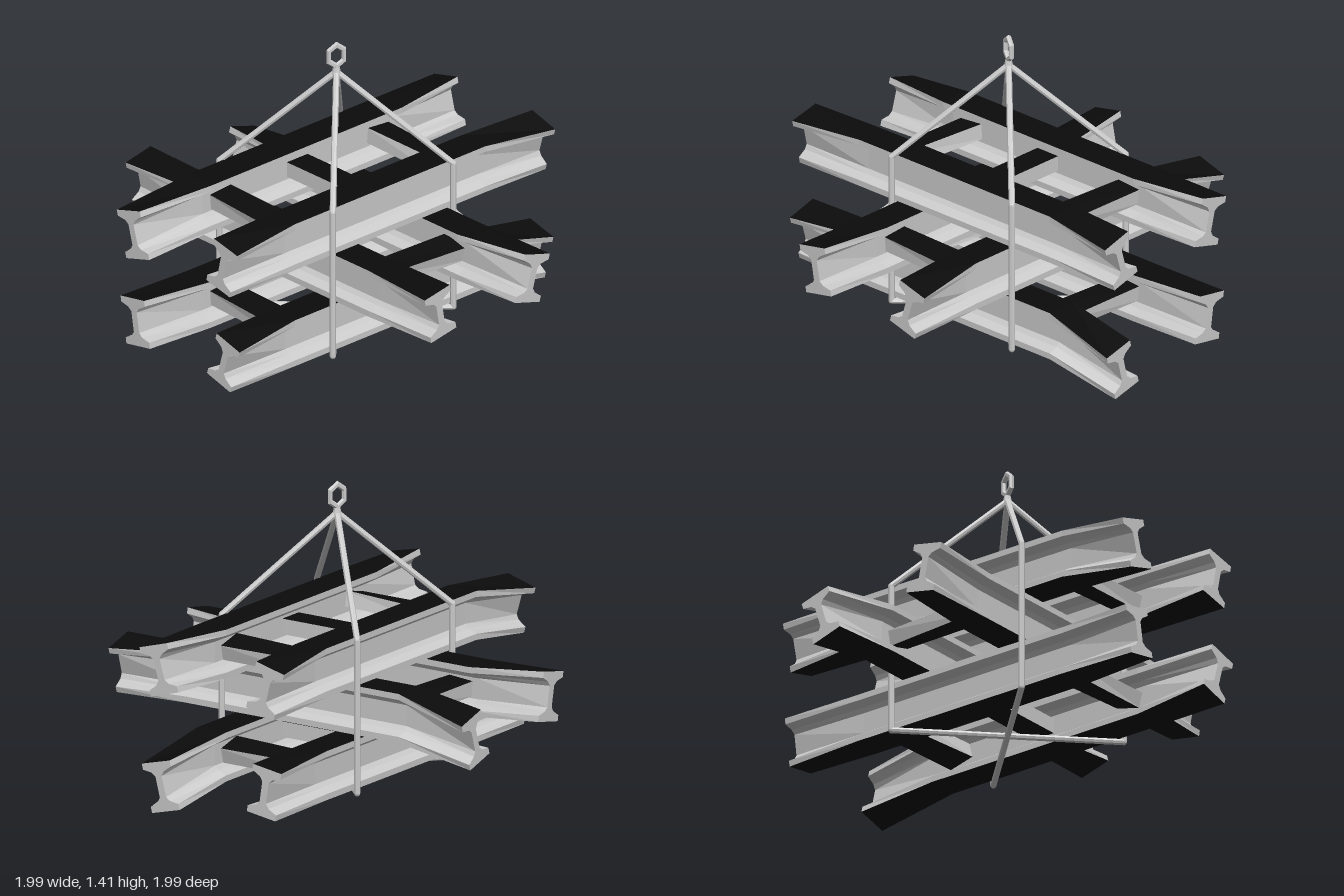
import * as THREE from 'three';

const grey = new THREE.MeshStandardMaterial({ color: 0xcccccc, flatShading: true });
const dark = new THREE.MeshStandardMaterial({ color: 0x0b0b0b, flatShading: true });

// Girder cross-section (counter-clockwise): flanges with sloped inner faces and a thin web
const quarter = [[0.08, 0.117], [0.08, 0.088], [0.035, 0.07], [0.018, 0.05]];
const right = [...quarter].reverse().map(([u, v]) => [u, v]);
const rightSide = [...quarter.map(([u, v]) => [u, -v]), ...right];
const girderSection = [...rightSide, ...[...rightSide].reverse().map(([u, v]) => [-u, v])];
const braceSection = [[0.065, -0.037], [0.065, 0.037], [-0.065, 0.037], [-0.065, -0.037]];

function meshFrom(name, positions, material) {
  const geometry = new THREE.BufferGeometry();
  geometry.setAttribute('position', new THREE.Float32BufferAttribute(positions, 3));
  geometry.computeVertexNormals();
  const mesh = new THREE.Mesh(geometry, material);
  mesh.name = name;
  return mesh;
}

// Loft a section along z; each station is { z, twist, dx, dy }. Outer flat faces are dark.
function loft(name, section, stations) {
  const rings = stations.map(({ z, twist = 0, dx = 0, dy = 0 }) => {
    const c = Math.cos(twist), s = Math.sin(twist);
    return section.map(([u, v]) => [u * c - v * s + dx, u * s + v * c + dy, z]);
  });
  const steel = [], painted = [];
  for (let k = 0; k < rings.length - 1; k++) {
    section.forEach((p, i) => {
      const j = (i + 1) % section.length;
      const [a, b, c, d] = [rings[k][i], rings[k][j], rings[k + 1][j], rings[k + 1][i]];
      const target = p[1] === section[j][1] ? painted : steel;
      target.push(...a, ...b, ...c, ...a, ...c, ...d);
    });
  }
  // End caps
  const faces = THREE.ShapeUtils.triangulateShape(section.map(([u, v]) => new THREE.Vector2(u, v)), []);
  const first = rings[0], last = rings[rings.length - 1];
  for (const [a, b, c] of faces) {
    steel.push(...last[a], ...last[b], ...last[c], ...first[c], ...first[b], ...first[a]);
  }
  const group = new THREE.Group();
  group.name = name;
  group.add(meshFrom(name + 'Steel', steel, grey), meshFrom(name + 'FlangeFaces', painted, dark));
  return group;
}

// Pair of warped girders along z, joined by three short braces.
// Each end is [outward twist, outward shift, vertical shift].
function girderLayer(name, y, ends) {
  const layer = new THREE.Group();
  layer.name = name;
  layer.position.y = y;
  [-1, 1].forEach((side, n) => {
    const end = (z, [t, out, dy]) => ({ z, twist: -side * t, dx: side * out, dy });
    const [back, front] = ends[n];
    const girder = loft('girder', girderSection, [
      end(-0.995, back), { z: -0.6 }, { z: 0.6 }, end(0.995, front),
    ]);
    girder.position.x = side * 0.28;
    layer.add(girder);
  });
  for (const s of [-1, 0, 1]) {
    const brace = loft('brace', braceSection, [
      { z: -0.275, twist: s * 0.08 }, { z: 0.275, twist: s * 0.25 },
    ]);
    brace.position.z = s * 0.495;
    brace.rotation.y = Math.PI / 2 - Math.abs(s) * 0.05;
    layer.add(brace);
  }
  return layer;
}

// Straight cable segment with a rounded joint at its start
function cable(name, a, b, radius = 0.015) {
  const group = new THREE.Group();
  group.name = name;
  const dir = b.clone().sub(a);
  const rod = new THREE.Mesh(new THREE.CylinderGeometry(radius, radius, dir.length(), 8), grey);
  rod.position.copy(a).addScaledVector(dir, 0.5);
  rod.quaternion.setFromUnitVectors(new THREE.Vector3(0, 1, 0), dir.normalize());
  const joint = new THREE.Mesh(new THREE.SphereGeometry(radius, 8, 6), grey);
  joint.position.copy(a);
  rod.name = name + 'Rod';
  joint.name = name + 'Joint';
  group.add(rod, joint);
  return group;
}

export function createModel() {
  const model = new THREE.Group();
  model.name = 'slungGirders';

  // Three stacked layers, the middle one turned crosswise
  const middle = girderLayer('middleLayer', 0.457, [
    [[0.2, 0.01, 0.02], [0.18, 0, 0.01]],
    [[0.3, 0.03, -0.05], [0.28, 0.02, 0]],
  ]);
  middle.rotation.y = Math.PI / 2;
  model.add(
    girderLayer('bottomLayer', 0.2, [
      [[0.15, 0.01, 0], [0.17, 0.01, 0.01]],
      [[0.25, 0.01, -0.066], [0.28, 0.02, 0.01]],
    ]),
    middle,
    girderLayer('topLayer', 0.69, [
      [[0.25, 0.015, -0.005], [0.28, 0.025, -0.04]],
      [[0.28, 0.02, 0], [0.22, 0.01, 0]],
    ]),
  );

  // Sling: diagonal straps below, uprights at the corners, legs meeting at the apex
  const sling = new THREE.Group();
  sling.name = 'sling';
  const apex = new THREE.Vector3(0, 1.26, 0);
  const base = new THREE.Vector3(0, 0.07, 0);
  for (const x of [-0.38, 0.38]) {
    for (const z of [-0.38, 0.38]) {
      const low = new THREE.Vector3(x, 0.07, z), high = new THREE.Vector3(x, 0.8, z);
      sling.add(cable('bottomStrap', base, low), cable('upright', low, high), cable('slingLeg', high, apex));
    }
  }
  const knot = new THREE.Mesh(new THREE.CylinderGeometry(0.015, 0.024, 0.04, 8), grey);
  knot.name = 'knot';
  knot.position.y = 1.265;
  sling.add(knot);

  // Angular lifting link
  const link = new THREE.Mesh(new THREE.TorusGeometry(0.042, 0.013, 6, 6).rotateZ(Math.PI / 6), grey);
  link.name = 'liftingLink';
  link.scale.y = 1.28;
  link.position.y = 1.342;
  link.rotation.y = THREE.MathUtils.degToRad(65);
  sling.add(link);
  model.add(sling);
  return model;
}
